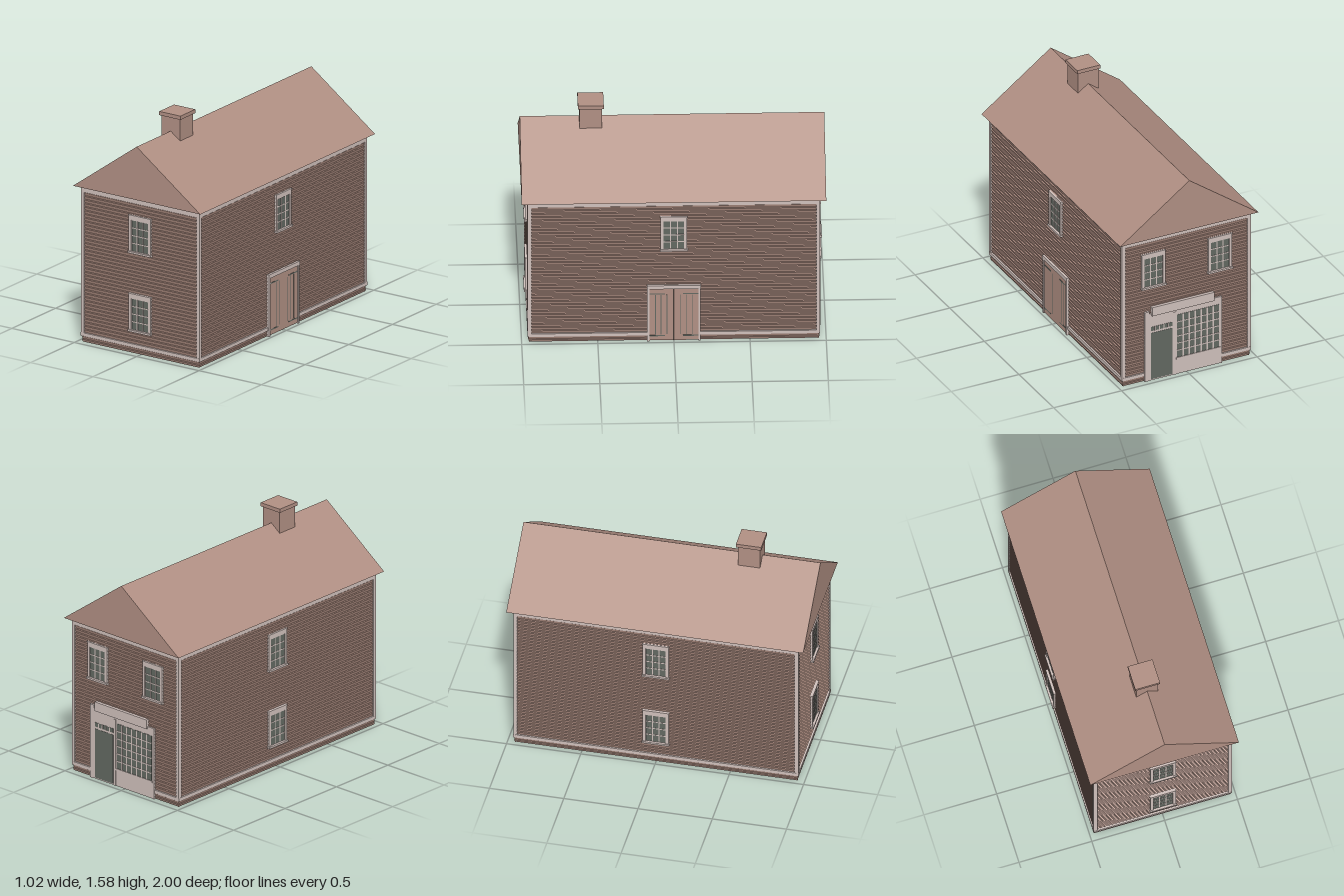
import * as THREE from 'three';

const mat = (name, color) => {
  const m = new THREE.MeshStandardMaterial({ color });
  m.name = name;
  return m;
};

export function createModel() {
  const brown = mat('brown timber', 0xb08f83);
  const trim = mat('pale trim', 0xcfc0bb);
  const dark = mat('dark glass', 0x626861);
  const W = 0.463, D = 0.948, EAVE = 1.085; // half width and half depth of the wall core

  const house = new THREE.Group();
  house.name = 'house';

  const add = (parent, name, geometry, material) => {
    const mesh = new THREE.Mesh(geometry, material);
    mesh.name = name;
    parent.add(mesh);
    return mesh;
  };
  // Box given by its limits on each axis
  const box = (parent, name, material, x0, x1, y0, y1, z0, z1) => {
    const g = new THREE.BoxGeometry(x1 - x0, y1 - y0, z1 - z0);
    g.translate((x0 + x1) / 2, (y0 + y1) / 2, (z0 + z1) / 2);
    return add(parent, name, g, material);
  };
  const group = (parent, name) => {
    const g = new THREE.Group();
    g.name = name;
    parent.add(g);
    return g;
  };

  // Boards with a narrow sloping ledge on top: a sawtooth profile pulled along the wall
  const clapboards = (parent, name, half, y0, y1, count) => {
    const s = new THREE.Shape();
    const step = (y1 - y0) / count;
    s.moveTo(-0.004, y0);
    s.lineTo(0.001, y0);
    for (let i = 0; i < count; i++) {
      const y = y0 + i * step;
      s.lineTo(0.008, y + step * 0.86);
      s.lineTo(0.001, y + step);
    }
    s.lineTo(-0.004, y1);
    const g = new THREE.ExtrudeGeometry(s, { depth: half * 2, bevelEnabled: false });
    g.translate(0, 0, -half);
    g.rotateY(-Math.PI / 2);
    add(parent, name, g, brown);
  };

  // Glass plate with a grid of glazing bars
  const glazing = (parent, x0, x1, y0, y1, z, cols, rows, bar) => {
    box(parent, 'glass', dark, x0, x1, y0, y1, z - 0.003, z + 0.001);
    for (let i = 1; i < cols; i++) {
      const x = x0 + (x1 - x0) * i / cols;
      box(parent, 'verticalBar', trim, x - bar, x + bar, y0, y1, z, z + 0.003);
    }
    for (let i = 1; i < rows; i++) {
      const y = y0 + (y1 - y0) * i / rows;
      box(parent, 'horizontalBar', trim, x0, x1, y - bar, y + bar, z, z + 0.003);
    }
  };

  const sashWindow = (parent, x, y) => {
    const w = group(parent, 'window');
    w.position.set(x, y, 0);
    box(w, 'backing', trim, -0.07, 0.07, 0.005, 0.25, 0, 0.01);
    for (const s of [-1, 1]) {
      box(w, 'sideCasing', trim, s * 0.077 - 0.01, s * 0.077 + 0.01, 0, 0.255, 0, 0.018);
    }
    box(w, 'headCasing', trim, -0.087, 0.087, 0.221, 0.25, 0, 0.018);
    box(w, 'headCap', trim, -0.09, 0.09, 0.25, 0.257, 0, 0.021);
    box(w, 'sill', trim, -0.092, 0.092, -0.007, 0.006, 0, 0.027);
    glazing(w, -0.067, 0.067, 0.009, 0.221, 0.011, 3, 4, 0.0035);
  };

  // One wall in its own frame: x along, y up, z outward
  const wall = (name, half, dist, angle) => {
    const g = group(house, name);
    g.rotation.y = angle;
    g.position.set(Math.sin(angle) * dist, 0, Math.cos(angle) * dist);
    clapboards(g, 'clapboards', half, 0.065, 1.04, 39);
    clapboards(g, 'skirtBoards', half + 0.004, 0, 0.042, 2);
    const out = half + 0.012;
    for (const s of [-1, 1]) {
      box(g, 'cornerBoard', trim, s > 0 ? half - 0.013 : -out, s > 0 ? out : 0.013 - half,
        0.042, EAVE, -0.004, 0.012);
    }
    box(g, 'frieze', trim, -half, half, 1.04, EAVE, -0.004, 0.012);
    box(g, 'waterTable', trim, -out, out, 0.042, 0.065, -0.004, 0.013);
    return g;
  };

  // Hollow wall shell, open at the bottom
  const rect = (Type, w, d) => new Type([
    new THREE.Vector2(-w, -d), new THREE.Vector2(w, -d),
    new THREE.Vector2(w, d), new THREE.Vector2(-w, d)]);
  const plan = rect(THREE.Shape, W, D);
  plan.holes.push(rect(THREE.Path, W - 0.005, D - 0.005));
  const shell = new THREE.ExtrudeGeometry(plan, { depth: EAVE, bevelEnabled: false });
  shell.rotateX(-Math.PI / 2);
  add(house, 'wallShell', shell, brown);

  // Roof and chimney
  const gable = new THREE.Shape([
    new THREE.Vector2(-0.51, EAVE), new THREE.Vector2(0.51, EAVE), new THREE.Vector2(0, 1.455)]);
  const roof = new THREE.ExtrudeGeometry(gable, { depth: 2, bevelEnabled: false });
  roof.translate(0, 0, -1);
  add(house, 'roof', roof, brown);
  const chimney = group(house, 'chimney');
  box(chimney, 'chimneyShaft', brown, -0.075, 0.075, 1.4, 1.552, 0.46, 0.61);
  box(chimney, 'chimneyCap', brown, -0.085, 0.085, 1.552, 1.578, 0.45, 0.62);

  const front = wall('frontWall', W, D, 0);
  const left = wall('leftWall', D, W, Math.PI / 2);
  const back = wall('backWall', W, D, Math.PI);
  const right = wall('rightWall', D, W, -Math.PI / 2);

  for (const y of [0.158, 0.702]) {
    sashWindow(front, 0, y);
    sashWindow(right, 0, y);
  }
  sashWindow(left, 0, 0.702);
  for (const x of [-0.245, 0.245]) sashWindow(back, x, 0.702);

  // Double plank door with thin seams and strap hinges
  const door = group(left, 'doubleDoor');
  box(door, 'doorLeaves', brown, -0.16, 0.16, 0.005, 0.405, 0, 0.0135);
  for (const s of [-1, 1]) {
    box(door, 'doorPost', trim, s * 0.168 - 0.008, s * 0.168 + 0.008, 0, 0.41, 0, 0.02);
    for (const x of [0.045, 0.085, 0.12]) {
      box(door, 'plankSeam', dark, s * x - 0.0025, s * x + 0.0025, 0.05, 0.355, 0.013, 0.0138);
    }
    for (const y of [0.04, 0.362]) {
      box(door, 'strapHinge', dark, s * 0.11 - 0.05, s * 0.11 + 0.05, y - 0.004, y + 0.004, 0.013, 0.015);
    }
  }
  box(door, 'meetingSeam', dark, -0.001, 0.001, 0.005, 0.4, 0.013, 0.0138);
  box(door, 'doorHead', trim, -0.178, 0.178, 0.403, 0.43, 0, 0.022);

  // Shop front with entrance, transom, display window and fascia
  const shop = group(back, 'shopFront');
  box(shop, 'shopPanel', trim, -0.31, 0.26, 0, 0.5, 0, 0.0145);
  box(shop, 'shopPost', trim, -0.31, -0.275, 0, 0.52, 0, 0.018);
  box(shop, 'shopPost', trim, 0.245, 0.26, 0, 0.5, 0, 0.018);
  box(shop, 'middlePost', trim, -0.098, -0.08, 0, 0.47, 0, 0.018);
  box(shop, 'entrance', dark, -0.265, -0.105, 0.008, 0.355, 0.01, 0.016);
  glazing(shop, -0.265, -0.105, 0.37, 0.4, 0.015, 5, 1, 0.004);
  glazing(shop, -0.072, 0.238, 0.125, 0.445, 0.015, 7, 6, 0.004);
  box(shop, 'displaySill', trim, -0.08, 0.245, 0.112, 0.125, 0, 0.02);
  box(shop, 'fascia', trim, -0.26, 0.2, 0.485, 0.55, 0, 0.026);

  return house;
}
